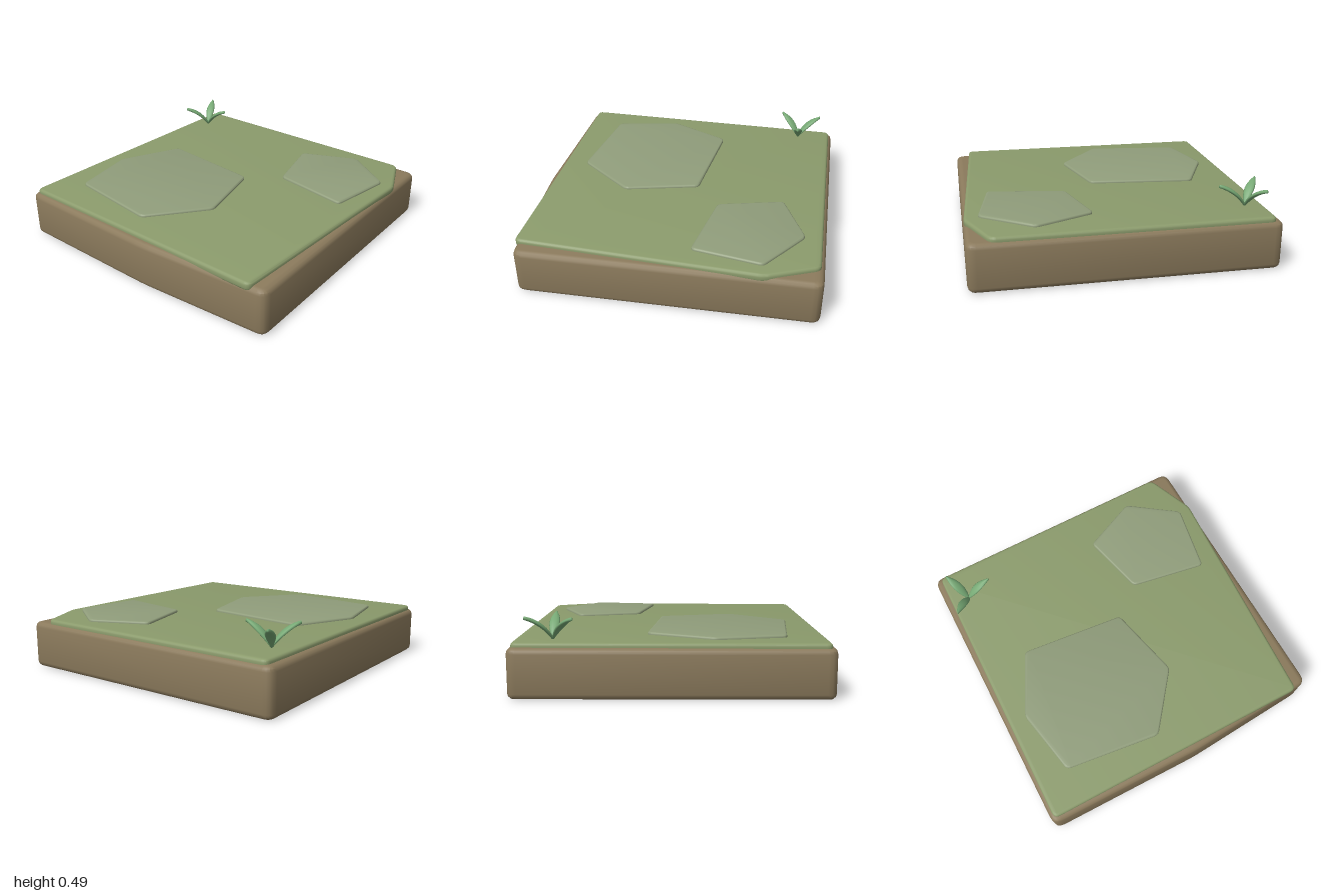
import * as THREE from 'three';
import { toCreasedNormals } from 'three/addons/utils/BufferGeometryUtils.js';

const material = (color, side = THREE.FrontSide) => new THREE.MeshStandardMaterial({ color, side });

// Outline of [x, z] points with rounded corners
function roundedShape(points, radius) {
  const pts = points.map(([x, z]) => new THREE.Vector2(x, -z));
  const shape = new THREE.Shape();
  pts.forEach((p, i) => {
    const towards = (q) => p.clone().add(q.clone().sub(p).setLength(radius));
    const a = towards(pts.at(i - 1));
    const b = towards(pts[(i + 1) % pts.length]);
    if (i === 0) shape.moveTo(a.x, a.y);
    else shape.lineTo(a.x, a.y);
    shape.quadraticCurveTo(p.x, p.y, b.x, b.y);
  });
  shape.closePath();
  return shape;
}

// Flat slab with softened edges, lying between two heights
function slab(name, points, y0, y1, radius, bevel, color) {
  const geometry = new THREE.ExtrudeGeometry(roundedShape(points, radius), {
    depth: y1 - y0 - 2 * bevel, curveSegments: 4,
    bevelThickness: bevel, bevelSize: bevel, bevelOffset: -bevel, bevelSegments: 3,
  });
  geometry.rotateX(-Math.PI / 2).translate(0, y0 + bevel, 0);
  const mesh = new THREE.Mesh(toCreasedNormals(geometry, 0.6), material(color));
  mesh.name = name;
  return mesh;
}

// Curved leaf lofted from oval sections along an arching spine, pointing to +x
function leafGeometry() {
  const spine = new THREE.QuadraticBezierCurve3(
    new THREE.Vector3(0, 0, 0), new THREE.Vector3(0.065, 0.105, 0), new THREE.Vector3(0.178, 0.138, 0));
  const rings = 12, sides = 10, positions = [], indices = [];
  for (let i = 0; i <= rings; i++) {
    const t = i / rings;
    const p = spine.getPoint(t), d = spine.getTangent(t);
    const width = 0.005 + 0.027 * Math.sin(Math.PI * t) ** 0.9;
    const thick = 0.007 + 0.006 * Math.sin(Math.PI * Math.min(1, t * 0.8));
    for (let j = 0; j < sides; j++) {
      const a = (j / sides) * Math.PI * 2;
      const n = Math.sin(a) * thick;
      positions.push(p.x - d.y * n, p.y + d.x * n, Math.cos(a) * width);
      if (i < rings) {
        const k = i * sides + j, l = i * sides + ((j + 1) % sides);
        indices.push(k, k + sides, l, l, k + sides, l + sides);
      }
    }
  }
  // Close both ends
  const last = rings * sides;
  for (let j = 1; j < sides - 1; j++) {
    indices.push(0, j, j + 1, last, last + j + 1, last + j);
  }
  const geometry = new THREE.BufferGeometry();
  geometry.setAttribute('position', new THREE.Float32BufferAttribute(positions, 3));
  geometry.setIndex(indices);
  geometry.computeVertexNormals();
  return geometry;
}

export function createModel() {
  const group = new THREE.Group();
  group.name = 'groundTile';

  // Earth block and the turf on top of it
  group.add(slab('earthBase',
    [[-0.98, -1], [0.97, -0.985], [0.99, 0.95], [0.08, 1], [-1, 0.975]],
    0, 0.312, 0.06, 0.035, 0x8b7a5c));
  group.add(slab('grassLayer',
    [[-0.937, -0.977], [0.83, -0.963], [0.97, -0.63], [0.89, 0.966], [-0.977, 0.945]],
    0.284, 0.34, 0.04, 0.018, 0x8b9b6c));

  // Flat stepping patches
  group.add(slab('largePatch',
    [[-0.645, -0.167], [0.072, -0.085], [0.192, 0.42], [-0.11, 0.793], [-0.76, 0.703], [-0.847, 0.25]],
    0.32, 0.357, 0.03, 0.012, 0x909d7b));
  group.add(slab('smallPatch',
    [[0.55, -0.855], [0.882, -0.615], [0.803, -0.153], [0.278, -0.25], [0.168, -0.69]],
    0.32, 0.357, 0.03, 0.012, 0x909d7b));

  // Three-leaf sprout in the back right corner
  const sprout = new THREE.Group();
  sprout.name = 'sprout';
  sprout.position.set(-0.815, 0.345, -0.735);
  const geometry = leafGeometry();
  const green = material(0x76a874, THREE.DoubleSide);
  [0, 116, 229].forEach((degrees) => {
    const leaf = new THREE.Mesh(geometry, green);
    leaf.name = 'leaf';
    leaf.rotation.y = THREE.MathUtils.degToRad(degrees);
    sprout.add(leaf);
  });
  group.add(sprout);
  return group;
}
